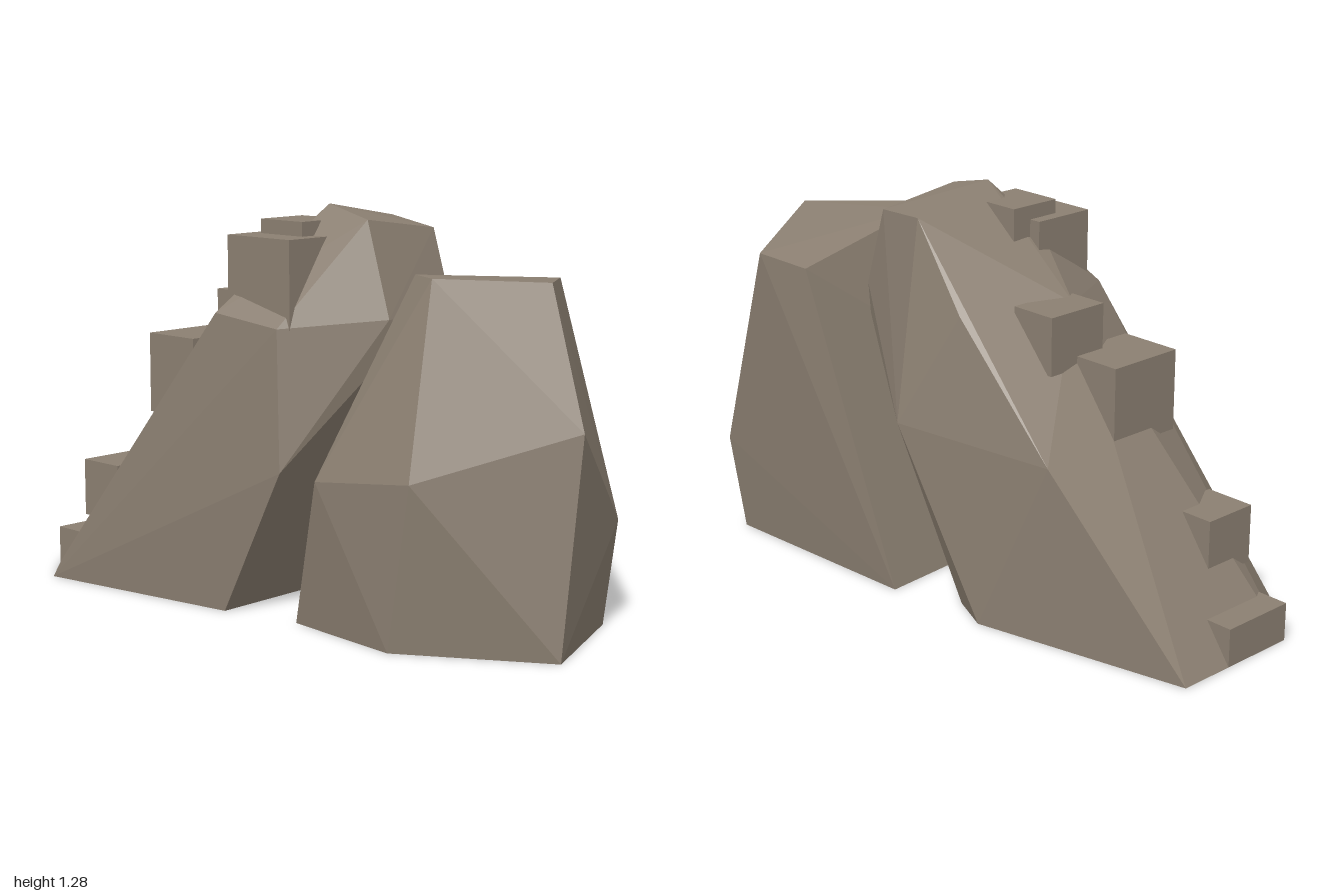
import * as THREE from 'three';
import { ConvexGeometry } from 'three/addons/geometries/ConvexGeometry.js';

const stone = new THREE.MeshStandardMaterial({ color: 0x8c8072, flatShading: true });
stone.name = 'stone';

// Faceted boulder wrapped around its corner points
function boulder(name, corners) {
  const geometry = new ConvexGeometry(corners.map((c) => new THREE.Vector3(...c)));
  const mesh = new THREE.Mesh(geometry, stone);
  mesh.name = name;
  return mesh;
}

// Stone block given by its lowest and highest corner
function block(name, min, max) {
  const size = max.map((v, i) => v - min[i]);
  const mesh = new THREE.Mesh(new THREE.BoxGeometry(...size), stone);
  mesh.position.set(...max.map((v, i) => (v + min[i]) / 2));
  mesh.name = name;
  return mesh;
}

export function createModel() {
  const group = new THREE.Group();
  group.name = 'rocks';

  // Tall leaning rock with the sloping side
  group.add(boulder('leaningRock', [
    // base
    [-0.13, 0, 0.34], [-0.14, 0, -0.24], [-0.28, 0, -0.30],
    [-1, 0, -0.14], [-1, 0, 0.31], [-0.86, 0, 0.45],
    // slope and back
    [-0.53, 0.58, -0.25], [-0.17, 0.97, -0.27], [0.02, 0.6, -0.36],
    [-0.3, 0.97, 0.08], [-0.13, 1.1, 0.14],
    // front shoulder
    [-0.15, 0.95, 0.35], [0.1, 0.92, 0.33], [0.12, 0.48, 0.34],
    // peak
    [0.08, 1.285, 0.08], [0.04, 1.23, -0.25], [0.25, 1.245, 0.09], [0.26, 1.205, -0.2],
    // overhanging side
    [0.35, 0.95, 0.1], [0.34, 0.95, -0.2], [0.355, 0.88, 0.06], [0.33, 0.85, -0.2],
  ]));

  // Upright rock
  group.add(boulder('uprightRock', [
    // base
    [0.13, 0, 0.28], [0.55, 0, 0.32], [0.985, 0, 0.05], [0.82, 0, -0.37], [0.08, 0, -0.33],
    // belly
    [0.28, 0.48, 0.35], [0.64, 0.52, 0.33], [1, 0.67, -0.02], [0.84, 0.33, -0.41],
    // top
    [0.48, 1.1, 0.13], [0.59, 1.1, 0.18], [0.85, 1.09, -0.05], [0.56, 1.05, -0.46], [0.38, 1.03, -0.42],
  ]));

  // Blocks stepping up the slope, and one between the rocks
  const steps = [
    [[-1, 0, 0.05], [-0.86, 0.125, 0.31]],
    [[-0.83, 0.2, 0.14], [-0.66, 0.39, 0.33]],
    [[-0.56, 0.58, 0], [-0.35, 0.84, 0.265]],
    [[-0.4, 0.8, -0.11], [-0.24, 0.985, 0.11]],
    [[-0.14, 0.915, 0.09], [0.13, 1.19, 0.305]],
    [[-0.1, 1.1, 0.02], [0.08, 1.235, 0.2]],
    [[0.13, 0.1, 0.05], [0.27, 0.3, 0.2]],
  ];
  steps.forEach(([min, max], i) => group.add(block(`stepBlock${i + 1}`, min, max)));

  return group;
}
